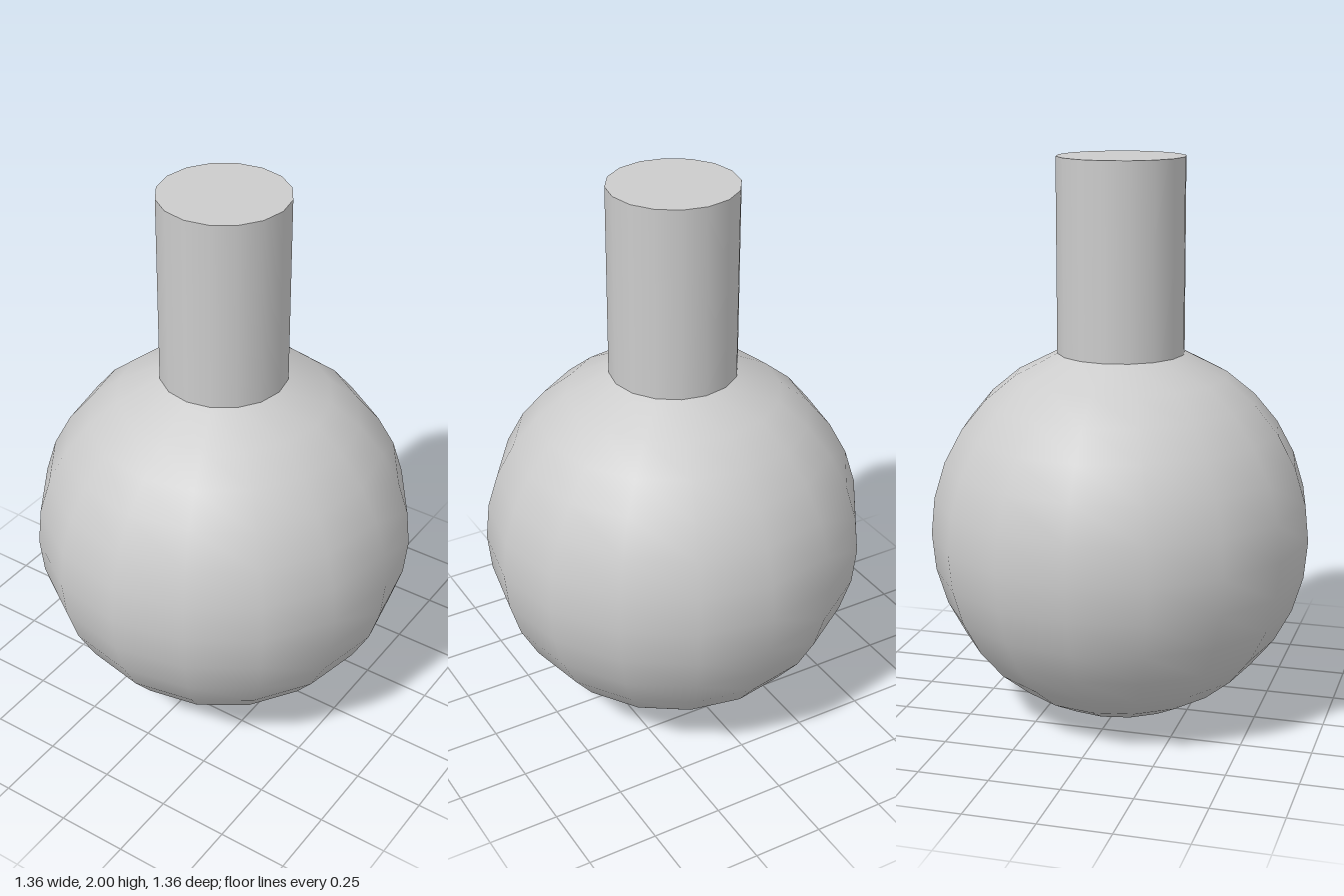
import * as THREE from 'three';

export function createModel() {
  const group = new THREE.Group();
  const material = new THREE.MeshStandardMaterial({ color: 0xcccccc });
  const R = 0.678, neckR = 0.225, neckBase = 1.32, top = 2, sides = 16;

  // Round body: sphere profile from the bottom pole up to the neck ring
  const profile = [];
  for (let i = 0; i <= 13; i++) {
    const a = (i / 16) * Math.PI;
    profile.push(new THREE.Vector2(R * Math.sin(a), R - R * Math.cos(a)));
  }
  profile.push(new THREE.Vector2(neckR, neckBase));
  const body = new THREE.Mesh(new THREE.LatheGeometry(profile, sides), material);
  body.name = 'roundBody';
  group.add(body);

  // Straight neck, closed by a flat cap and open towards the body
  const neckGeometry = new THREE.CylinderGeometry(neckR, neckR, top - neckBase, sides, 1, true);
  const neck = new THREE.Mesh(neckGeometry, material);
  neck.position.y = (top + neckBase) / 2;
  neck.name = 'neck';
  group.add(neck);

  const cap = new THREE.Mesh(new THREE.CircleGeometry(neckR, sides), material);
  cap.rotation.x = -Math.PI / 2;
  cap.position.y = top;
  cap.name = 'neckCap';
  group.add(cap);

  return group;
}
